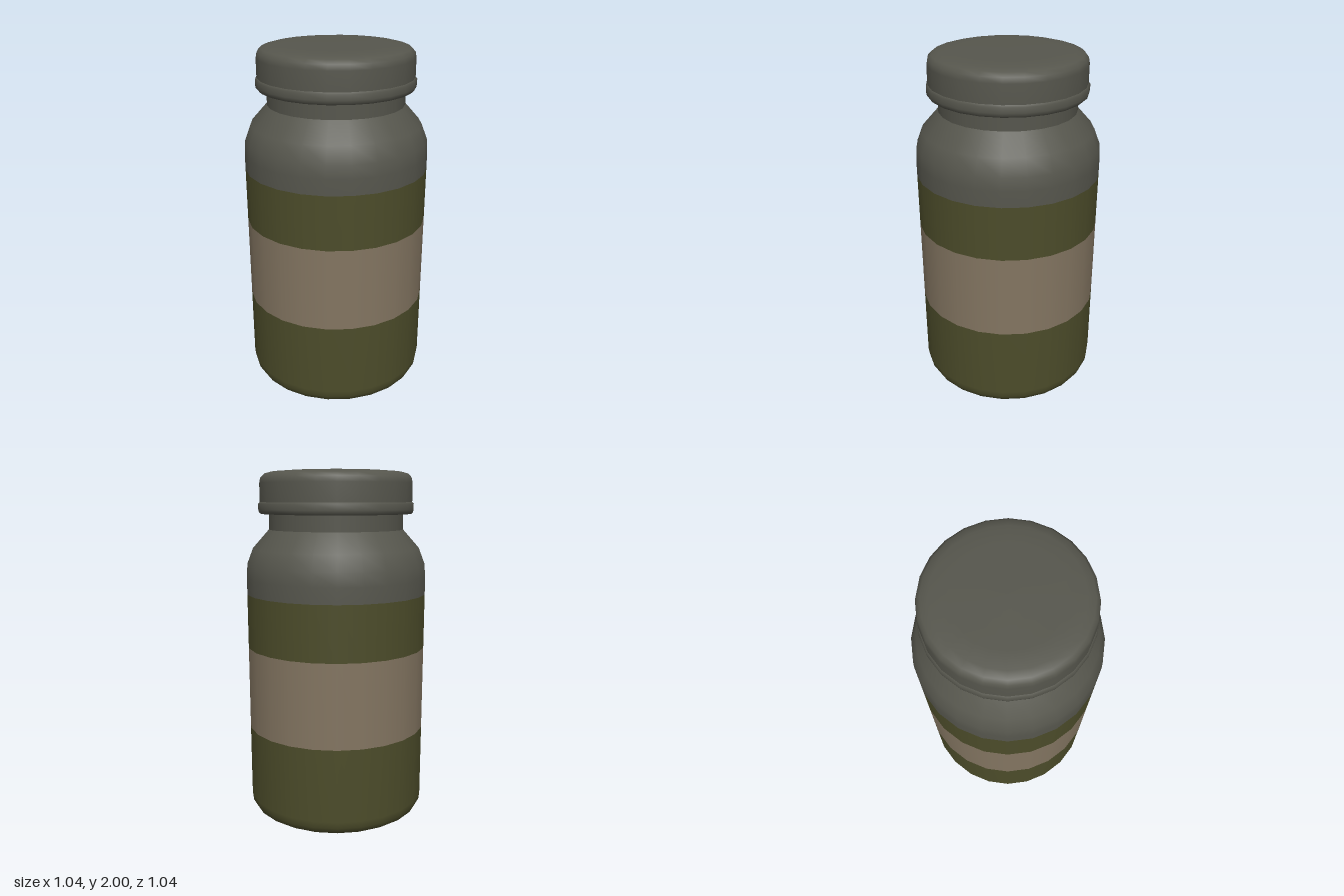
import * as THREE from 'three';

const SIDES = 24;

export function createModel() {
  const jar = new THREE.Group();
  jar.name = 'jar';

  const mat = (name, color) => {
    const m = new THREE.MeshStandardMaterial({ color });
    m.name = name;
    return m;
  };
  const grey = mat('smoky grey', 0x56564d);
  const olive = mat('olive contents', 0x4c4c2a);
  const beige = mat('beige label', 0x837561);

  // Revolves a profile listed from bottom to top; separate calls keep creases sharp
  const turned = (name, material, profile, parent = jar) => {
    const points = profile.map(([r, y]) => new THREE.Vector2(r, y));
    const mesh = new THREE.Mesh(new THREE.LatheGeometry(points, SIDES), material);
    mesh.name = name;
    parent.add(mesh);
  };

  // Body, with a rounded base and straight walls
  turned('lowerBody', olive, [
    [0, 0], [0.42, 0.002], [0.465, 0.01], [0.497, 0.03], [0.515, 0.062], [0.52, 0.1], [0.52, 0.52],
  ]);
  turned('label', beige, [[0.52, 0.52], [0.52, 1.0]]);
  turned('upperBody', olive, [[0.52, 1.0], [0.52, 1.31]]);

  // Shoulder and neck
  turned('shoulder', grey, [
    [0.52, 1.31], [0.52, 1.4], [0.515, 1.475], [0.48, 1.565], [0.385, 1.672],
  ]);
  turned('neck', grey, [[0.385, 1.67], [0.385, 1.765]]);

  // Lid: underside, rolled lip, then side and top in one soft curve
  const lid = new THREE.Group();
  lid.name = 'lid';
  jar.add(lid);
  turned('lidUnderside', grey, [[0.37, 1.76], [0.432, 1.76]], lid);
  turned('lidLip', grey, [
    [0.432, 1.76], [0.442, 1.77], [0.445, 1.785], [0.445, 1.815], [0.436, 1.825],
  ], lid);
  turned('lidTop', grey, [
    [0.436, 1.825], [0.436, 1.93], [0.43, 1.96], [0.41, 1.98], [0.37, 1.991], [0.28, 1.998], [0, 2],
  ], lid);

  return jar;
}
